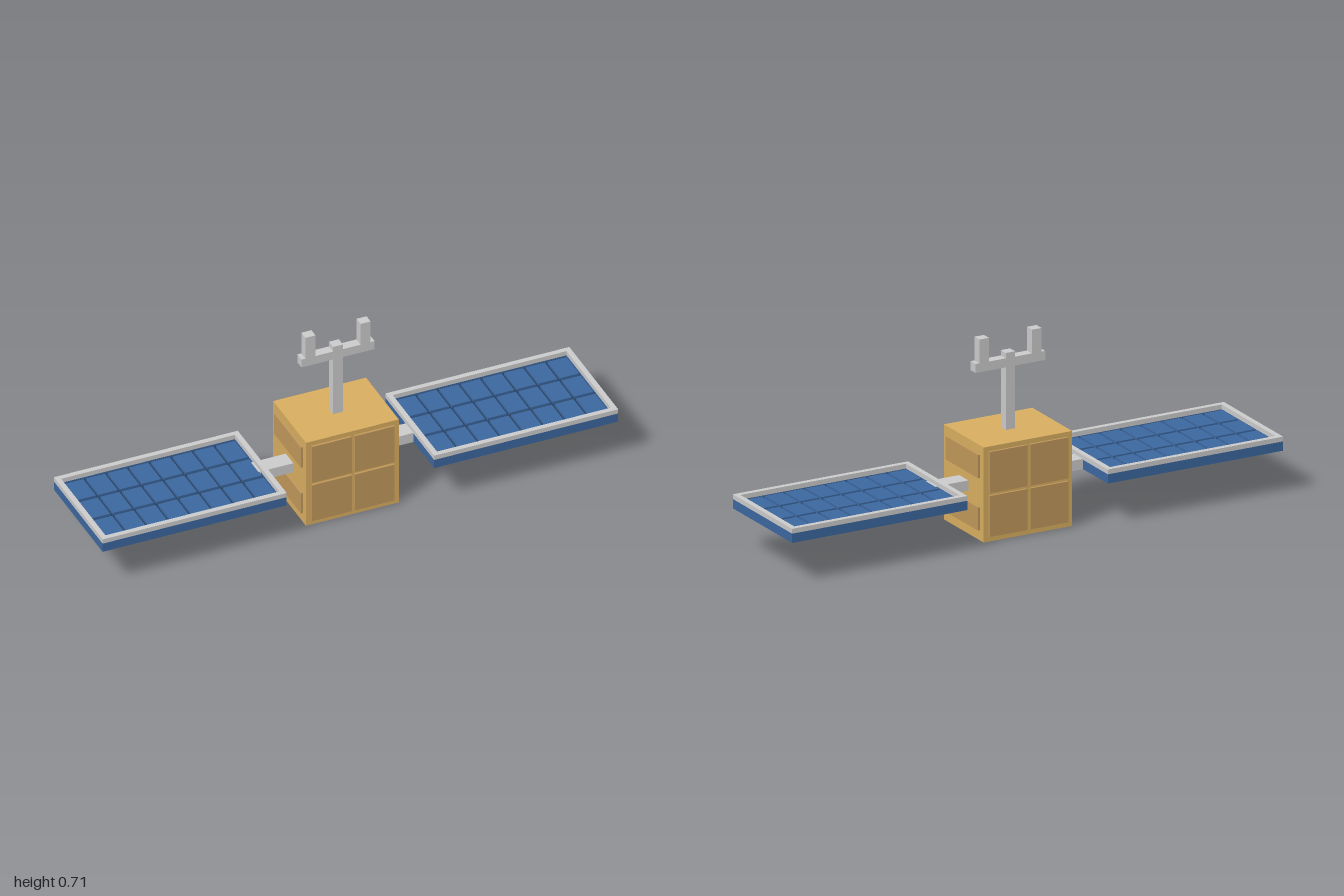
import * as THREE from 'three';

const mat = (color) => new THREE.MeshStandardMaterial({ color, flatShading: true });

export function createModel() {
  const model = new THREE.Group();
  const grey = mat(0xcccccc), gold = mat(0xd9ae60), brown = mat(0xc0985a);
  const blue = mat(0x3c679f), navy = mat(0x24405f);

  // Box given by its min and max on each axis
  const box = (parent, name, material, [x0, x1], [y0, y1], [z0, z1]) => {
    const mesh = new THREE.Mesh(new THREE.BoxGeometry(x1 - x0, y1 - y0, z1 - z0), material);
    mesh.position.set((x0 + x1) / 2, (y0 + y1) / 2, (z0 + z1) / 2);
    mesh.name = name;
    parent.add(mesh);
    return mesh;
  };
  const group = (name) => {
    const g = new THREE.Group();
    g.name = name;
    model.add(g);
    return g;
  };
  const centred = (c, size) => [c - size / 2, c + size / 2];

  // Body with raised cover plates: four on front and back, two on each side
  const body = group('body');
  box(body, 'bodyCore', gold, [-0.18, 0.18], [0, 0.357], [-0.143, 0.143]);
  for (const s of [-1, 1]) {
    for (const x of [-0.083, 0.083])
      for (const y of [0.097, 0.262])
        box(body, 'facePlate', brown, centred(x, 0.154), centred(y, 0.154), centred(s * 0.146, 0.012));
    for (const y of [0.081, 0.278])
      box(body, 'sidePlate', brown, centred(s * 0.182, 0.012), centred(y, 0.087), [-0.116, 0.116]);
  }

  // Antenna: mast, crossbar and two prongs
  const antenna = group('antenna');
  const depth = [-0.018, 0.018];
  box(antenna, 'mastLower', grey, [-0.019, 0.019], [0.35, 0.592], depth);
  box(antenna, 'crossbar', grey, [-0.142, 0.142], [0.592, 0.626], depth);
  box(antenna, 'mastTip', grey, [-0.019, 0.019], [0.626, 0.646], depth);
  for (const s of [-1, 1])
    box(antenna, 'prong', grey, centred(s * 0.107, 0.039), [0.626, 0.715], depth);

  // Solar wings with arm, tray, rim and a grid of cells
  for (const s of [-1, 1]) {
    const wing = group(s > 0 ? 'leftWing' : 'rightWing');
    const cx = s * 0.643;
    const width = 0.714, length = 0.426, rim = 0.02;
    box(wing, 'arm', grey, centred(s * 0.24, 0.15), [0.161, 0.2], [-0.033, 0.033]);
    box(wing, 'tray', blue, centred(cx, width), [0.162, 0.188], centred(0, length));
    box(wing, 'trayFloor', navy, centred(cx, width - 2 * rim), [0.186, 0.19], centred(0, length - 2 * rim));

    // Rim: blue lower band under a grey upper band, both open in the middle
    const outline = new THREE.Shape();
    const rect = (path, w, h) => path.moveTo(-w / 2, -h / 2).lineTo(w / 2, -h / 2)
      .lineTo(w / 2, h / 2).lineTo(-w / 2, h / 2).closePath();
    rect(outline, width, length);
    const hole = new THREE.Path();
    rect(hole, width - 2 * rim, length - 2 * rim);
    outline.holes.push(hole);
    for (const [name, material, y0, y1] of [['lowerRim', blue, 0.188, 0.197], ['upperRim', grey, 0.197, 0.215]]) {
      const geo = new THREE.ExtrudeGeometry(outline, { depth: y1 - y0, bevelEnabled: false });
      geo.rotateX(-Math.PI / 2);
      const mesh = new THREE.Mesh(geo, material);
      mesh.position.set(cx, y0, 0);
      mesh.name = name;
      wing.add(mesh);
    }

    for (let i = 0; i < 8; i++)
      for (let j = -1; j <= 1; j++)
        box(wing, 'solarCell', blue, centred(cx + (i - 3.5) * 0.084, 0.074),
          [0.188, 0.199], centred(j * 0.125, 0.111));
  }
  return model;
}
